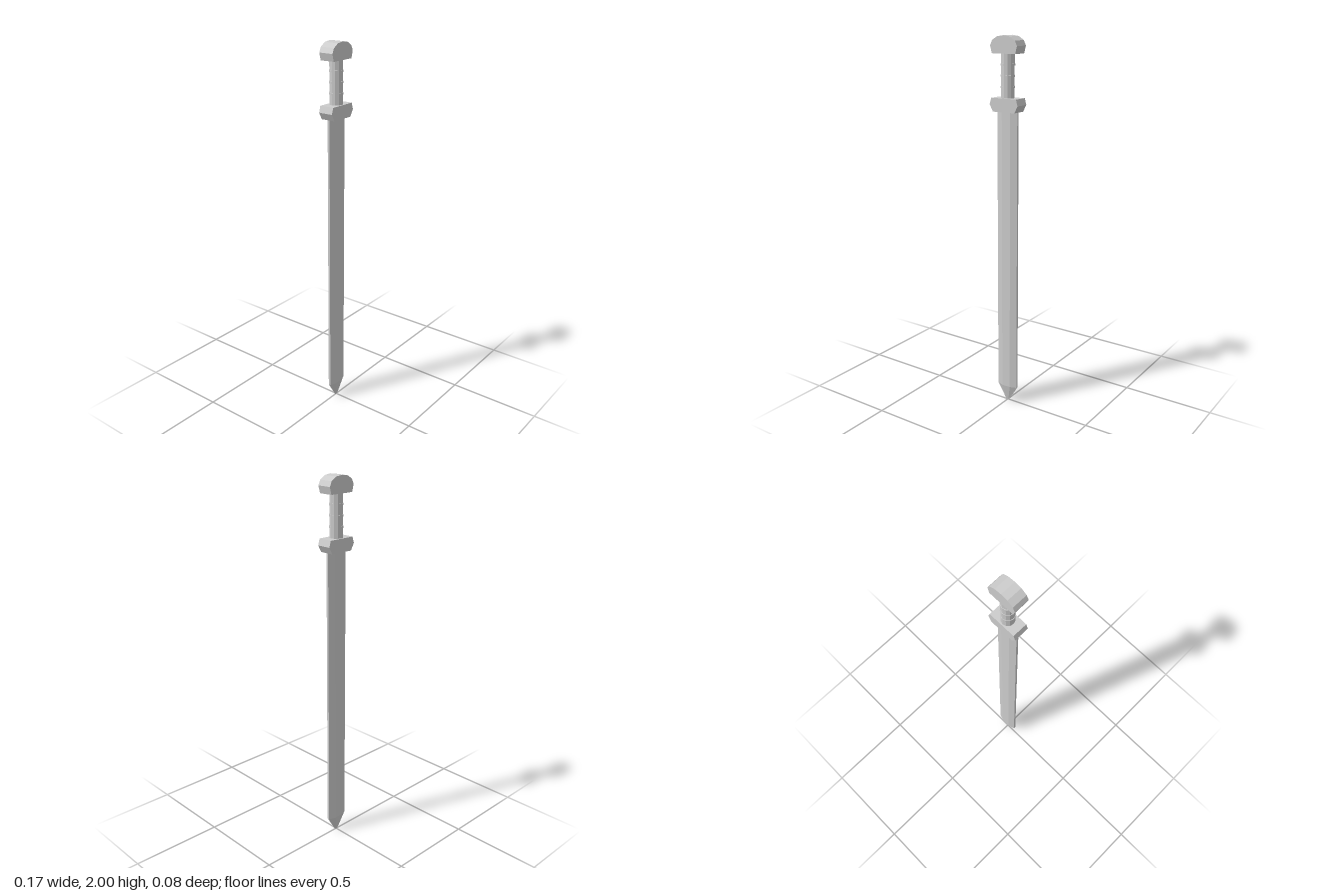
import * as THREE from 'three';

const material = new THREE.MeshStandardMaterial({ color: 0xcccccc, flatShading: true });

function part(name, geometry, y = 0) {
  const mesh = new THREE.Mesh(geometry, material);
  mesh.name = name;
  mesh.position.y = y;
  return mesh;
}

// Extrudes a profile mirrored in x; points run up the right side
function mirroredSlab(points, depth) {
  const left = points.filter(([x]) => x > 0).map(([x, y]) => [-x, y]).reverse();
  const shape = new THREE.Shape([...points, ...left].map(([x, y]) => new THREE.Vector2(x, y)));
  return new THREE.ExtrudeGeometry(shape, { depth, bevelEnabled: false }).translate(0, 0, -depth / 2);
}

// Lofts eight-sided sections from top to bottom:
// half width, flat half width, half depth, edge half depth
function bladeGeometry(sections) {
  const rings = sections.map(({ y, w, f, d, e }) => [
    [w, e], [f, d], [-f, d], [-w, e], [-w, -e], [-f, -d], [f, -d], [w, -e],
  ].map(([x, z]) => [x, y, z]));
  const position = [];
  const tri = (a, b, c) => position.push(...a, ...b, ...c);
  for (let r = 0; r < rings.length - 1; r++) {
    for (let i = 0; i < 8; i++) {
      const j = (i + 1) % 8;
      const [a, b, c, d] = [rings[r][i], rings[r][j], rings[r + 1][j], rings[r + 1][i]];
      tri(a, b, c);
      tri(a, c, d);
    }
  }
  // End caps
  const top = rings[0], tip = rings[rings.length - 1];
  for (let i = 1; i < 7; i++) {
    tri(top[0], top[i + 1], top[i]);
    tri(tip[0], tip[i], tip[i + 1]);
  }
  const geometry = new THREE.BufferGeometry();
  geometry.setAttribute('position', new THREE.Float32BufferAttribute(position, 3));
  geometry.computeVertexNormals();
  return geometry;
}

export function createModel() {
  const sword = new THREE.Group();
  sword.name = 'sword';

  // Blade with central flats and a short point
  sword.add(part('blade', bladeGeometry([
    { y: 1.64, w: 0.061, f: 0.025, d: 0.019, e: 0.006 },
    { y: 0.09, w: 0.061, f: 0.025, d: 0.019, e: 0.006 },
    { y: 0, w: 0.009, f: 0.004, d: 0.002, e: 0.001 },
  ])));

  // Cross guard
  sword.add(part('guard', mirroredSlab(
    [[0.065, 1.624], [0.085, 1.66], [0.075, 1.693]], 0.08)));

  // Grip with three raised bands
  sword.add(part('grip', new THREE.CylinderGeometry(0.034, 0.034, 0.24, 12), 1.805));
  for (const y of [1.748, 1.803, 1.858]) {
    sword.add(part('gripBand', new THREE.CylinderGeometry(0.0365, 0.0365, 0.01, 12), y));
  }

  // Domed pommel
  sword.add(part('pommel', mirroredSlab(
    [[0.07, 1.912], [0.08, 1.95], [0.068, 1.976], [0.037, 1.995], [0, 2]], 0.08)));

  return sword;
}
